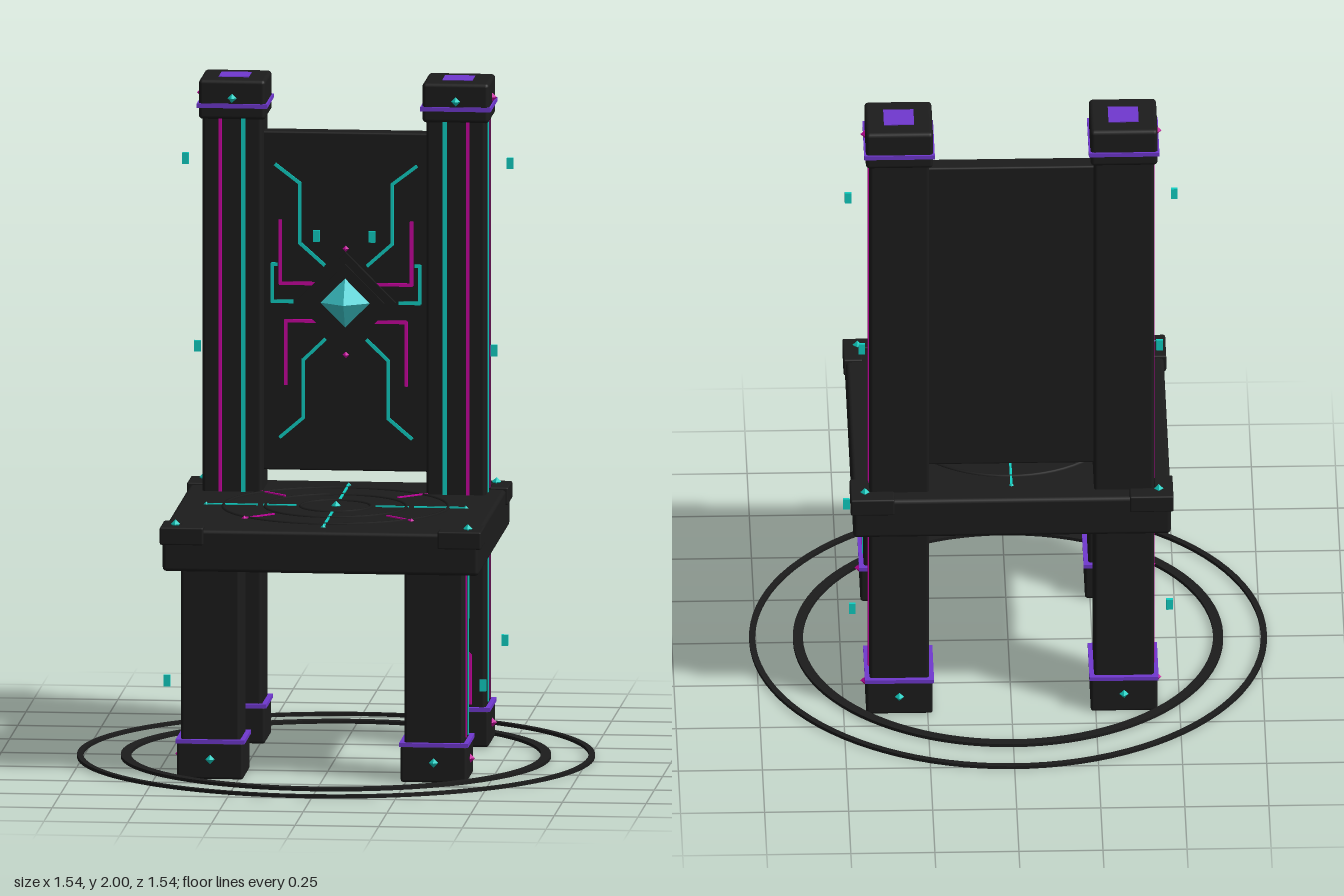
import * as THREE from 'three';
import { RoundedBoxGeometry } from 'three/addons/geometries/RoundedBoxGeometry.js';

const mat = (name, color) => Object.assign(new THREE.MeshStandardMaterial({ color }), { name });

export function createModel() {
  const root = new THREE.Group();
  root.name = 'chair';
  const black = mat('black', 0x1c1c1c);
  const teal = mat('teal', 0x10d0c4);
  const magenta = mat('magenta', 0xc800a0);
  const purple = mat('purple', 0x7038d0);
  const crystal = mat('crystal', 0x40d0d4);

  const add = (name, geo, m, x, y, z, parent = root) => {
    const mesh = new THREE.Mesh(geo, m);
    mesh.name = name;
    mesh.position.set(x, y, z);
    parent.add(mesh);
    return mesh;
  };
  const box = (name, m, w, h, d, x, y, z, r = 0) =>
    add(name, r ? new RoundedBoxGeometry(w, h, d, 2, r) : new THREE.BoxGeometry(w, h, d), m, x, y, z);
  const node = (name, m, x, y, z, r = 0.014) => add(name, new THREE.OctahedronGeometry(r), m, x, y, z);

  // Thin inlay running through 2D points on the local xy plane
  const trace = (name, m, pts, width, parent) => {
    for (let i = 0; i + 1 < pts.length; i++) {
      const [ax, ay] = pts[i], [bx, by] = pts[i + 1];
      const len = Math.hypot(bx - ax, by - ay) + width * 0.6;
      const s = add(name, new THREE.BoxGeometry(len, width, 0.007), m, (ax + bx) / 2, (ay + by) / 2, 0, parent);
      s.rotation.z = Math.atan2(by - ay, bx - ax);
    }
  };
  const plane = (name, x, y, z, rx = 0, ry = 0) => {
    const g = new THREE.Group();
    g.name = name;
    g.position.set(x, y, z);
    g.rotation.set(rx, ry, 0);
    root.add(g);
    return g;
  };

  // Floor rings
  for (const [outer, inner] of [[0.77, 0.752], [0.64, 0.61]]) {
    const s = new THREE.Shape().absarc(0, 0, outer, 0, Math.PI * 2);
    s.holes.push(new THREE.Path().absarc(0, 0, inner, 0, Math.PI * 2, true));
    const g = new THREE.ExtrudeGeometry(s, { depth: 0.01, bevelEnabled: false, curveSegments: 48 });
    add('floorRing', g.rotateX(-Math.PI / 2), black, 0, 0.003, 0);
  }

  // Seat slab with engraved-style rings and traces
  box('seat', black, 0.945, 0.127, 0.945, 0, 0.694, 0, 0.012);
  for (const r of [0.335, 0.21, 0.105])
    add('seatRing', new THREE.TorusGeometry(r, 0.006, 6, 64).rotateX(Math.PI / 2), black, 0, 0.757, 0);
  const seatTop = plane('seatTraces', 0, 0.758, 0, -Math.PI / 2);
  for (let i = 0; i < 4; i++) {
    const a = i * Math.PI / 2, b = a + Math.PI / 4;
    const at = (r, t) => [r * Math.cos(t), r * Math.sin(t)];
    trace('seatTrace', teal, [at(0.12, a), at(0.215, a)], 0.007, seatTop);
    trace('seatTrace', teal, [at(0.235, a), at(0.385, a)], 0.007, seatTop);
    trace('seatAccent', magenta, [at(0.24, b), at(0.35, b)], 0.007, seatTop);
    const [nx, nz] = at(0.388, a), [mx, mz] = at(0.353, b);
    node('seatNode', teal, nx, 0.758, nz, 0.008);
    node('seatNode', magenta, mx, 0.758, mz, 0.008);
  }
  node('seatCentre', teal, 0, 0.76, 0);

  // Legs, feet, posts and corner brackets
  for (const sx of [-1, 1]) {
    for (const sz of [-1, 1]) {
      const x = 0.334 * sx, z = sz > 0 ? 0.333 : -0.332;
      const top = sz > 0 ? 0.65 : 1.9;
      box(sz > 0 ? 'frontLeg' : 'backPost', black, 0.178, top - 0.1, 0.178, x, (top + 0.1) / 2, z, 0.01);
      box('foot', black, 0.198, 0.112, 0.198, x, 0.056, z, 0.008);
      box('footBand', purple, 0.206, 0.012, 0.206, x, 0.113, z);
      node('footNode', teal, x, 0.06, z + sz * 0.1);
      node('footNode', magenta, x + sx * 0.1, 0.06, z);

      // Straight stripes on the outer side
      const side = plane('sideStripes', x + sx * 0.089, 0, 0, 0, sx * Math.PI / 2);
      const end = sz > 0 ? 0.63 : 1.88;
      const u = (v) => -sx * sz * v;
      trace('sideStripe', teal, [[u(0.307), 0.13], [u(0.307), end]], 0.011, side);
      trace('sideStripe', magenta, [[u(0.36), 0.13], [u(0.36), end]], 0.009, side);

      // Kinked stripes on the faces under the seat
      const inner = plane('innerStripes', 0, 0, z - sz * 0.089);
      trace('innerStripe', teal,
        [[0.37, 0.63], [0.37, 0.39], [0.315, 0.33], [0.315, 0.13]].map(([a, b]) => [a * sx, b]), 0.01, inner);
      trace('innerStripe', magenta,
        [[0.345, 0.31], [0.378, 0.275], [0.378, 0.13]].map(([a, b]) => [a * sx, b]), 0.008, inner);

      // L-shaped corner bracket
      box('cornerBracket', black, 0.13, 0.053, 0.056, sx * 0.415, 0.738, sz * 0.452, 0.005);
      box('cornerBracket', black, 0.056, 0.053, 0.13, sx * 0.452, 0.738, sz * 0.415, 0.005);
      node('bracketNode', teal, sx * 0.437, 0.768, sz * 0.435);
    }

    // Post cap
    const x = 0.334 * sx, z = -0.336;
    box('postCap', black, 0.2, 0.12, 0.2, x, 1.938, z, 0.012);
    box('capBand', purple, 0.21, 0.013, 0.21, x, 1.92, z);
    box('capPlate', purple, 0.09, 0.006, 0.09, x, 1.997, z);
    node('capNode', teal, x, 1.943, z + 0.1);
    node('capNode', magenta, x + sx * 0.1, 1.943, z);

    // Front stripes of the post
    const face = plane('postStripes', 0, 0, -0.243);
    trace('postStripe', teal, [[0.301 * sx, 0.76], [0.301 * sx, 1.88]], 0.014, face);
    trace('postStripe', magenta, [[0.37 * sx, 0.76], [0.37 * sx, 1.88]], 0.01, face);

    // Floating chips
    for (const [cx, cy, cz] of [[0.485, 1.74, -0.362], [0.443, 1.185, -0.303], [0.472, 0.28, 0.335],
      [0.472, 0.308, -0.33], [0.083, 1.53, -0.25]])
      box('floatingChip', teal, 0.02, 0.034, 0.01, sx * cx, cy, cz);

    // Circuit traces on the backrest
    const circuit = plane('backrestTraces', 0, 0, -0.302);
    const paths = [
      [teal, [[0.21, 1.735], [0.138, 1.68], [0.138, 1.5], [0.065, 1.435]]],
      [magenta, [[0.196, 1.566], [0.196, 1.378], [0.085, 1.378]]],
      [teal, [[0.208, 1.435], [0.22, 1.435], [0.22, 1.323], [0.16, 1.323]]],
      [magenta, [[0.18, 1.075], [0.18, 1.265], [0.085, 1.265]]],
      [teal, [[0.196, 0.915], [0.127, 0.974], [0.127, 1.148], [0.063, 1.21]]],
    ];
    for (const [m, pts] of paths) trace('backrestTrace', m, pts.map(([a, b]) => [a * sx, b]), 0.01, circuit);
  }

  // Backrest panel
  box('backrest', black, 0.51, 1.02, 0.056, 0, 1.325, -0.332, 0.006);

  // Diamond mount and gem
  box('gemMount', black, 0.212, 0.212, 0.025, 0, 1.325, -0.298).rotation.z = Math.PI / 4;
  box('gemFrame', black, 0.165, 0.165, 0.014, 0, 1.325, -0.283).rotation.z = Math.PI / 4;
  add('gem', new THREE.OctahedronGeometry(0.086), crystal, 0, 1.325, -0.285).scale.z = 0.74;
  for (const y of [1.165, 1.485]) node('mountNode', magenta, 0, y, -0.298, 0.01);

  return root;
}
